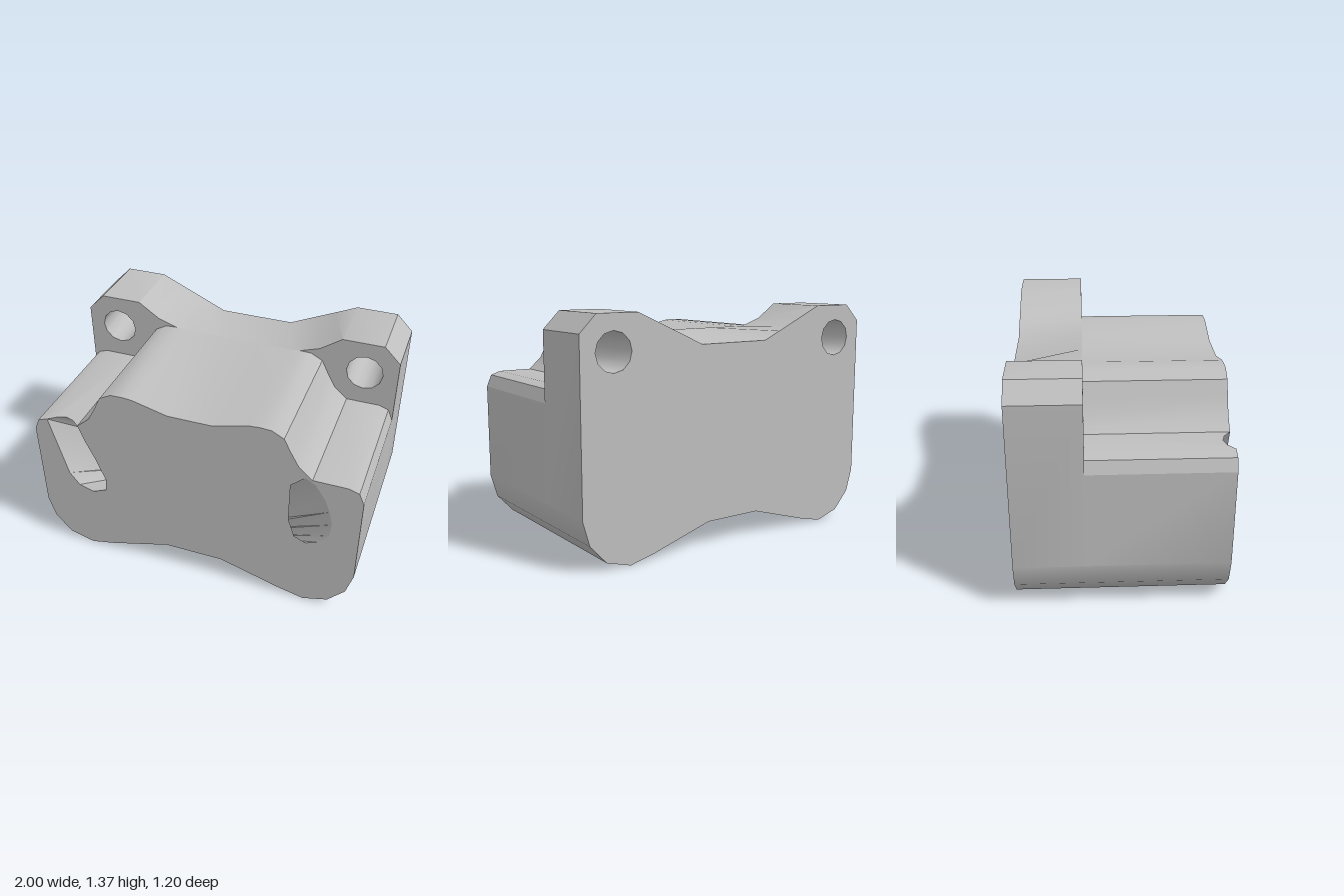
import * as THREE from 'three';
import { mergeGeometries, toCreasedNormals } from 'three/addons/utils/BufferGeometryUtils.js';

const FRONT = 0.6, STEP = -0.2, BACK = -0.6;

// Right-hand halves of the outlines, running clockwise from the top centre
const blockTop = [[0.13, 1.18], [0.34, 1.235], [0.4, 1.24], [0.47, 1.237], [0.54, 1.2], [0.58, 1.12], [0.63, 1.03],
  [0.68, 0.985], [0.71, 0.96], [0.91, 0.96], [0.97, 0.94], [1, 0.87]];
const blockTopRear = [[0.13, 1.235], ...blockTop.slice(1)];
const plateTop = [[0.13, 1.235], [0.34, 1.235], [0.4, 1.24], [0.52, 1.28], [0.65, 1.37], [0.9, 1.37], [1, 1.27]];
const plateTopRear = [[0.23, 1.18], [0.34, 1.23], [0.4, 1.257], [0.52, 1.311], [0.65, 1.37], [0.9, 1.37], [1, 1.27]];
const low = [[1, 0.3], [0.96, 0.16], [0.86, 0.05], [0.71, 0.005], [0.56, 0.04]];
const lowInner = [0.18, 0.155];

// Channel mouths on the front, counter-clockwise from the right
const mouthRight = [[0.84, 0.67], [0.82, 0.76], [0.79, 0.84], [0.73, 0.93], [0.67, 0.965], [0.59, 0.89],
  [0.59, 0.76], [0.59, 0.63], [0.63, 0.51], [0.7, 0.48], [0.78, 0.51], [0.83, 0.58]];
const mouthLeft = [[-0.62, 0.74], [-0.67, 0.85], [-0.71, 0.96], [-0.76, 0.96, 0.56], [-0.81, 0.96, 0.545],
  [-0.86, 0.96, 0.56], [-0.91, 0.96], [-0.81, 0.57], [-0.75, 0.49], [-0.66, 0.46], [-0.57, 0.5], [-0.56, 0.58]];

const mirror = (pts) => pts.map(([x, y]) => [-x, y]).reverse();
const whole = (half) => [...mirror(half), ...half];
const atZ = (pts, z) => pts.map((p) => [p[0], p[1], p[2] ?? z]);
const ellipse = (cx, cy, rx, ry, n) => Array.from({ length: n }, (_, i) => {
  const a = (i / n) * Math.PI * 2;
  return [cx + rx * Math.cos(a), cy + ry * Math.sin(a)];
});

// Skin between two polylines with equal point counts
function loft(a, b, closed = false) {
  const pos = [];
  const n = a.length;
  for (let i = 0; i < (closed ? n : n - 1); i++) {
    const j = (i + 1) % n;
    pos.push(...a[i], ...a[j], ...b[i], ...a[j], ...b[j], ...b[i]);
  }
  return new THREE.BufferGeometry().setAttribute('position', new THREE.Float32BufferAttribute(pos, 3));
}

// Filled outline with holes, placed in space by map(u, v)
function panel(outline, holes, map) {
  const vec = (pts) => pts.map(([u, v]) => new THREE.Vector2(u, v));
  const shape = new THREE.Shape(vec(outline));
  holes.forEach((h) => shape.holes.push(new THREE.Path(vec(h))));
  const geo = new THREE.ShapeGeometry(shape).toNonIndexed();
  const p = geo.attributes.position;
  for (let i = 0; i < p.count; i++) p.setXYZ(i, ...map(p.getX(i), p.getY(i)));
  geo.deleteAttribute('normal');
  geo.deleteAttribute('uv');
  return geo;
}

export function createModel() {
  const group = new THREE.Group();
  const grey = new THREE.MeshStandardMaterial({ color: 0xbebebe });
  const add = (name, ...geos) => {
    const mesh = new THREE.Mesh(toCreasedNormals(mergeGeometries(geos), 0.6), grey);
    mesh.name = name;
    group.add(mesh);
  };

  // Front face with the notch and the right-hand channel mouth
  const top = whole(blockTop), topRear = whole(blockTopRear);
  const bottom = [...low, lowInner, ...mirror([...low, lowInner])];
  const notch = [...mouthLeft.slice(7), ...mouthLeft.slice(0, 2)];
  add('frontFace', panel([...top.slice(0, 3), ...notch, ...top.slice(3), ...bottom], [mouthRight],
    (x, y) => [x, y, FRONT]));

  // Top of the block, its left shoulder cut by the notch
  const shoulder = [[-0.71, -FRONT], [-0.71, -STEP], [-0.91, -STEP], [-0.91, -FRONT],
    ...mouthLeft.slice(3, 6).reverse().map(([x, , z]) => [x, -z])];
  add('blockTop',
    loft(atZ(top.slice(0, 3), FRONT), atZ(topRear.slice(0, 3), STEP)),
    panel(shoulder, [], (x, v) => [x, 0.96, -v]),
    loft(atZ(top.slice(3), FRONT), atZ(topRear.slice(3), STEP)));

  // Top of the rear plate, sweeping up to the two ears
  add('plateTop', loft(atZ(whole(plateTop), STEP), atZ(whole(plateTopRear), BACK)));

  // Bolt holes, ear faces and back face
  const boltHoles = [-0.8, 0.8].map((x) => ellipse(x, 1.17, 0.11, 0.11, 12));
  boltHoles.forEach((h) => add('boltHole', loft(atZ(h, STEP), atZ(h, BACK), true)));
  const ear = [...plateTop.slice(2), ...blockTop.slice(3).reverse()];
  add('rightEarFace', panel(mirror(ear), [boltHoles[0]], (x, y) => [x, y, STEP]));
  add('leftEarFace', panel(ear, [boltHoles[1]], (x, y) => [x, y, STEP]));
  const flip = (pts) => pts.map(([x, y]) => [-x, y]);
  add('backFace', panel(flip([...whole(plateTopRear), ...bottom]), boltHoles.map(flip),
    (u, y) => [-u, y, BACK]));

  // Side walls and rounded lower corners
  const blockWall = [[1, 0.87], [1, 0.3]], plateWall = [[1, 1.27], [1, 0.3]];
  for (const [name, side] of [['leftWall', (p) => p], ['rightWall', mirror]]) {
    add(name,
      loft(atZ(side(blockWall), FRONT), atZ(side(blockWall), STEP)),
      loft(atZ(side(plateWall), STEP), atZ(side(plateWall), BACK)),
      loft(atZ(side(low), FRONT), atZ(side(low), BACK)));
  }

  // Hollowed underside with the two channel exits
  const exitFront = ellipse(0, 0.34, 0.13, 0.07, 12);
  const exitRear = ellipse(-0.18, -0.27, 0.14, 0.07, 12);
  const underY = (x) => 0.155 - Math.max(0, Math.abs(x) - 0.18) * (0.115 / 0.38);
  const under = (x, z) => [x, underY(x), z];
  const centre = [[-0.18, FRONT], [0.18, FRONT], [0.18, BACK], [-0.18, BACK],
    ...exitRear.slice(9), ...exitRear.slice(0, 4)];
  const rightSlope = [[-0.18, FRONT], ...exitRear.slice(3, 10), [-0.18, BACK], [-0.56, BACK], [-0.56, FRONT]];
  const leftSlope = [[0.18, FRONT], [0.18, BACK], [0.56, BACK], [0.56, FRONT]];
  add('underside', panel(centre, [exitFront], under), panel(rightSlope, [], under), panel(leftSlope, [], under));

  // Slanted channels from the front mouths to the underside
  const exitRing = (e) => e.map((_, i) => under(...e[(12 - i) % 12]));
  add('leftChannel', loft(atZ(mouthRight, FRONT), exitRing(exitFront), true));
  add('rightChannel', loft(atZ(mouthLeft, FRONT), exitRing(exitRear), true));

  return group;
}
